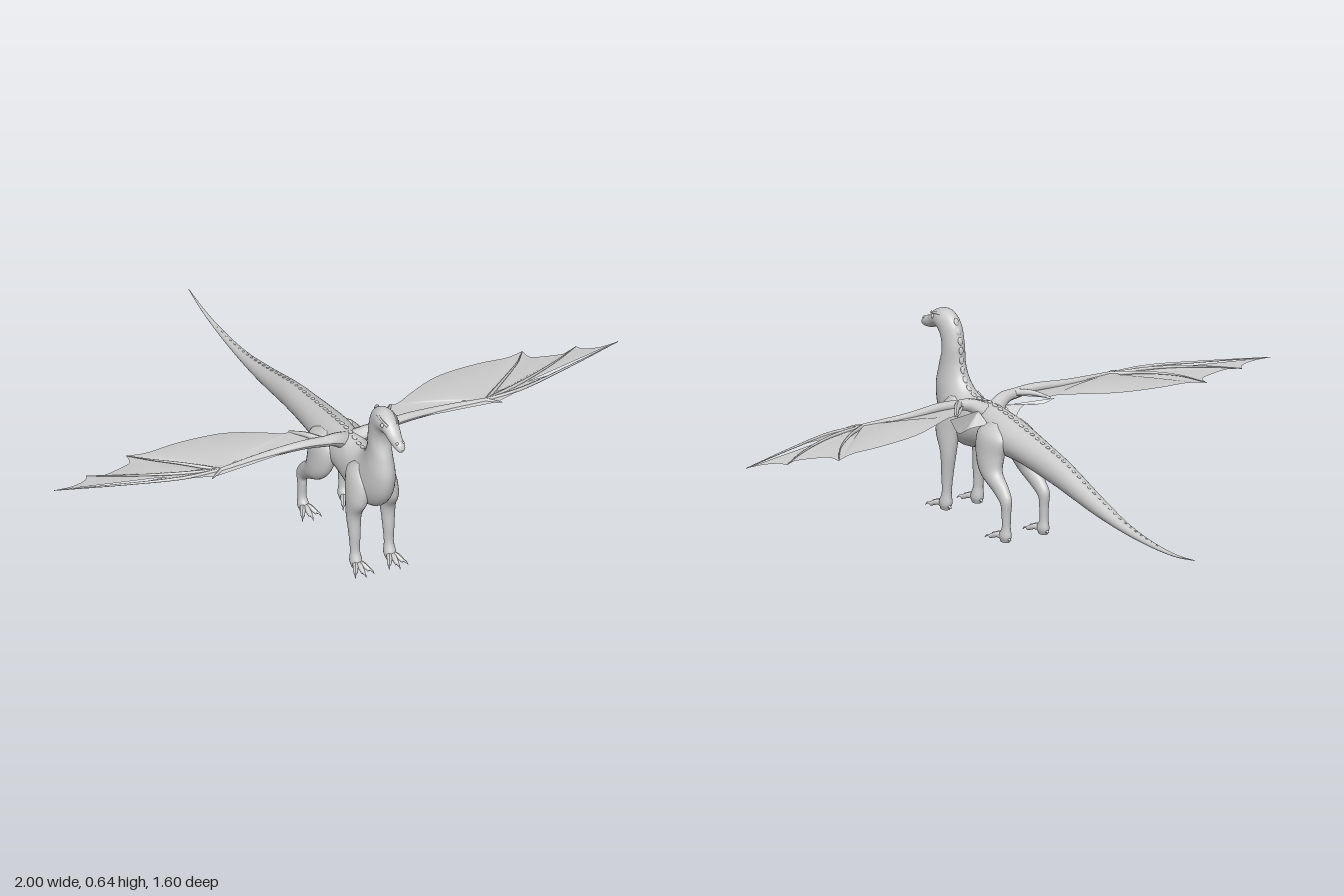
import * as THREE from 'three';

const grey = new THREE.MeshStandardMaterial({ color: 0xcccccc });
const thin = new THREE.MeshStandardMaterial({ color: 0xcccccc, side: THREE.DoubleSide });
const V = (x, y, z) => new THREE.Vector3(x, y, z);

function mesh(name, geometry, material = grey) {
  const m = new THREE.Mesh(geometry, material);
  m.name = name;
  return m;
}

// Builds a geometry from a (rows x cols) grid of points; wrap joins the last column to the first.
function gridGeometry(rows, cols, point, wrap) {
  const pos = [], idx = [];
  for (let i = 0; i < rows; i++) for (let j = 0; j < cols; j++) pos.push(...point(i, j).toArray());
  for (let i = 0; i < rows - 1; i++) {
    for (let j = 0; j < (wrap ? cols : cols - 1); j++) {
      const k = (j + 1) % cols;
      const a = i * cols + j, b = i * cols + k, c = a + cols, d = b + cols;
      idx.push(a, b, c, b, d, c);
    }
  }
  const g = new THREE.BufferGeometry();
  g.setAttribute('position', new THREE.Float32BufferAttribute(pos, 3));
  g.setIndex(idx);
  g.computeVertexNormals();
  return g;
}

// Smooth skin through oval sections: [x, z1, y1, z2, y2, halfWidth], the two points being opposite rims.
function loft(sections, side = 1, steps = 5, sides = 24) {
  const first = new THREE.CatmullRomCurve3(sections.map(s => V(s[0] * side, s[2], s[1])));
  const second = new THREE.CatmullRomCurve3(sections.map(s => V(s[0] * side, s[4], s[3])));
  const width = new THREE.CatmullRomCurve3(sections.map((s, i) => V(s[5], i * 0.05, 0)));
  const rows = (sections.length - 1) * steps + 1;
  return gridGeometry(rows, sides, (i, j) => {
    const t = i / (rows - 1), a = (j / sides) * Math.PI * 2;
    const p = first.getPoint(t), q = second.getPoint(t);
    const half = p.clone().sub(q).multiplyScalar(0.5);
    const w = Math.max(width.getPoint(t).x, 0.0005);
    return p.add(q).multiplyScalar(0.5).addScaledVector(half, Math.cos(a)).add(V(w * Math.sin(a), 0, 0));
  }, true);
}

// Round rod along a curve, tapering from r0 to r1.
function taper(points, r0, r1, segments = 14, sides = 10) {
  const curve = new THREE.CatmullRomCurve3(points);
  const g = new THREE.TubeGeometry(curve, segments, 1, sides);
  const pos = g.attributes.position, v = V(0, 0, 0);
  for (let i = 0; i < pos.count; i++) {
    const t = Math.floor(i / (sides + 1)) / segments;
    const c = curve.getPointAt(t);
    v.fromBufferAttribute(pos, i).sub(c).multiplyScalar(r0 + (r1 - r0) * t).add(c);
    pos.setXYZ(i, v.x, v.y, v.z);
  }
  g.computeVertexNormals();
  return g;
}

// Head, neck, trunk and tail as one skin, from snout to tail tip
const bodySections = [
  [0, .800, .566, .800, .562, .002], [0, .790, .584, .793, .554, .014],
  [0, .755, .600, .752, .557, .021], [0, .715, .632, .710, .571, .028],
  [0, .660, .645, .686, .566, .034], [0, .607, .616, .674, .545, .034],
  [0, .583, .550, .670, .510, .034], [0, .574, .480, .689, .450, .037],
  [0, .555, .435, .701, .386, .045], [0, .515, .403, .682, .310, .054],
  [0, .470, .396, .630, .250, .060], [0, .420, .402, .550, .221, .060],
  [0, .360, .398, .440, .238, .060], [0, .280, .386, .300, .255, .062],
  [0, .200, .372, .200, .258, .056], [0, .090, .352, .090, .248, .047],
  [0, -.020, .330, -.020, .235, .040], [0, -.230, .267, -.230, .206, .029],
  [0, -.400, .224, -.400, .192, .018], [0, -.570, .206, -.570, .190, .010],
  [0, -.700, .207, -.700, .199, .005], [0, -.800, .219, -.800, .217, .001]
];

const foreLeg = [
  [.045, .550, .390, .570, .390, .004], [.046, .505, .350, .620, .335, .030],
  [.055, .520, .280, .625, .260, .032], [.060, .532, .200, .592, .200, .025],
  [.060, .547, .120, .589, .120, .019], [.060, .555, .060, .588, .060, .016],
  [.060, .553, .022, .602, .026, .020], [.060, .562, .002, .600, .002, .014]
];

const hindLeg = [
  [.045, .300, .370, .330, .370, .004], [.052, .240, .330, .385, .330, .034],
  [.060, .250, .270, .378, .250, .036], [.068, .248, .222, .340, .197, .030],
  [.070, .208, .185, .268, .155, .022], [.072, .181, .148, .223, .125, .018],
  [.072, .184, .100, .219, .100, .015], [.072, .186, .050, .217, .050, .014],
  [.072, .182, .020, .232, .024, .018], [.072, .190, .002, .228, .002, .013]
];

function leg(name, sections, side, footX, footZ) {
  const g = new THREE.Group();
  g.name = name;
  g.add(mesh('limb', loft(sections, side)));
  // three spread toes, each ending in a claw, and a short dew claw behind
  for (const spread of [-1, 0, 1]) {
    const at = (f, y) => V(side * footX + spread * .034 * f, y, footZ + (spread ? .068 : .08) * f);
    g.add(mesh('toe', taper([at(0, .016), at(.35, .021), at(.75, .010)], .012, .007)));
    g.add(mesh('claw', taper([at(.68, .012), at(.88, .012), at(1, .003)], .006, .0005, 6, 8)));
  }
  g.add(mesh('heelClaw', taper([V(side * footX, .02, footZ - .01), V(side * footX, .012, footZ - .034)], .009, .002, 5, 8)));
  return g;
}

// Skin stretched from an apex to a curved trailing edge, slightly billowed
function membrane(apex, edge, billow) {
  const curve = new THREE.CatmullRomCurve3(edge);
  return gridGeometry(9, 25, (i, j) => {
    const r = Math.max(i / 8, 0.002), s = j / 24;
    const p = apex.clone().lerp(curve.getPoint(s), r);
    p.y += billow * Math.sin(Math.PI * s) * Math.sin(Math.PI * r * .8);
    return p;
  }, false);
}

function wing(name, side) {
  const g = new THREE.Group();
  g.name = name;
  const P = (x, y, z) => V(side * x, y, z);
  const wrist = P(.47, .402, .432);
  const flapY = side > 0 ? .345 : .385;

  // upper arm and forearm
  g.add(mesh('shoulder', taper([P(.02, .375, .41), P(.06, .398, .425), P(.11, .408, .43)], .03, .015)));
  g.add(mesh('arm', taper([P(.08, .402, .43), P(.17, .412, .428), P(.30, .407, .422), wrist], .018, .008, 24)));
  g.add(mesh('elbow', taper([P(.11, .41, .425), P(.145, .415, .38), P(.18, .405, .33)], .013, .004)));
  g.add(mesh('thumbClaw', taper([wrist, P(.49, .402, .447), P(.515, .398, .460)], .008, .001, 8)));

  // finger bones
  const fingers = [
    [wrist, P(.60, .405, .425), P(.78, .402, .375), P(1, .397, .302)],
    [wrist, P(.62, .407, .392), P(.77, .402, .325), P(.868, .394, .266)],
    [wrist, P(.56, .410, .365), P(.65, .405, .285), P(.702, .392, .215)]
  ];
  fingers.forEach(f => g.add(mesh('finger', taper(f, .007, .0012, 24, 8))));

  // skin between the fingers, then back to the body
  const edges = [
    [P(1, .397, .302), P(.93, .394, .304), P(.88, .393, .286), P(.868, .394, .266)],
    [P(.868, .394, .266), P(.83, .392, .286), P(.75, .391, .272), P(.71, .391, .255), P(.702, .392, .215)],
    [P(.702, .392, .215), P(.64, .394, .234), P(.54, .396, .231), P(.38, .400, .250),
      P(.27, .402, .300), P(.20, .402, .336), P(.17, .404, .336), P(.10, .406, .41)]
  ];
  edges.forEach((e, i) => g.add(mesh('membrane', membrane(wrist, e, i === 2 ? .014 : .004), thin)));
  g.add(mesh('frontMembrane', membrane(P(.14, .410, .432),
    [P(.50, .400, .455), P(.60, .404, .428), P(.75, .402, .386)], 0), thin));
  // loose fold of skin under the upper arm
  g.add(mesh('armpitFold', membrane(P(.05, .385, .40),
    [P(.20, .400, .335), P(.16, flapY, .345), P(.10, flapY, .365), P(.05, .355, .34)], 0), thin));
  return g;
}

export function createModel() {
  const model = new THREE.Group();
  model.name = 'wingedDragon';
  model.add(mesh('body', loft(bodySections, 1, 8, 32)));

  // low scales along the spine
  const spine = new THREE.CatmullRomCurve3(bodySections.slice(5).map(s => V(0, s[2], s[1])));
  for (let i = 0; i < 44; i++) {
    const t = i / 50, p = spine.getPointAt(t), d = spine.getTangentAt(t);
    const scale = mesh('spineScale', new THREE.SphereGeometry(1, 10, 6));
    const k = 1 - t * .75;
    scale.scale.set(.009 * k, .005 * k, .014 * k);
    scale.position.copy(p);
    scale.rotation.x = Math.atan2(-d.y, d.z);
    model.add(scale);
  }

  for (const side of [1, -1]) {
    const label = side > 0 ? 'left' : 'right';
    model.add(leg(label + 'ForeLeg', foreLeg, side, .06, .578));
    model.add(leg(label + 'HindLeg', hindLeg, side, .072, .208));
    model.add(wing(label + 'Wing', side));

    // eye, brow and nostril
    const eye = mesh(label + 'Eye', new THREE.SphereGeometry(.008, 14, 10));
    eye.position.set(side * .025, .612, .705);
    model.add(eye);
    model.add(mesh(label + 'Brow', taper([V(side * .017, .618, .728), V(side * .025, .626, .70), V(side * .024, .630, .665)], .004, .004)));
    const nostril = mesh(label + 'Nostril', new THREE.SphereGeometry(.005, 10, 8));
    nostril.position.set(side * .010, .583, .782);
    model.add(nostril);
  }
  return model;
}
